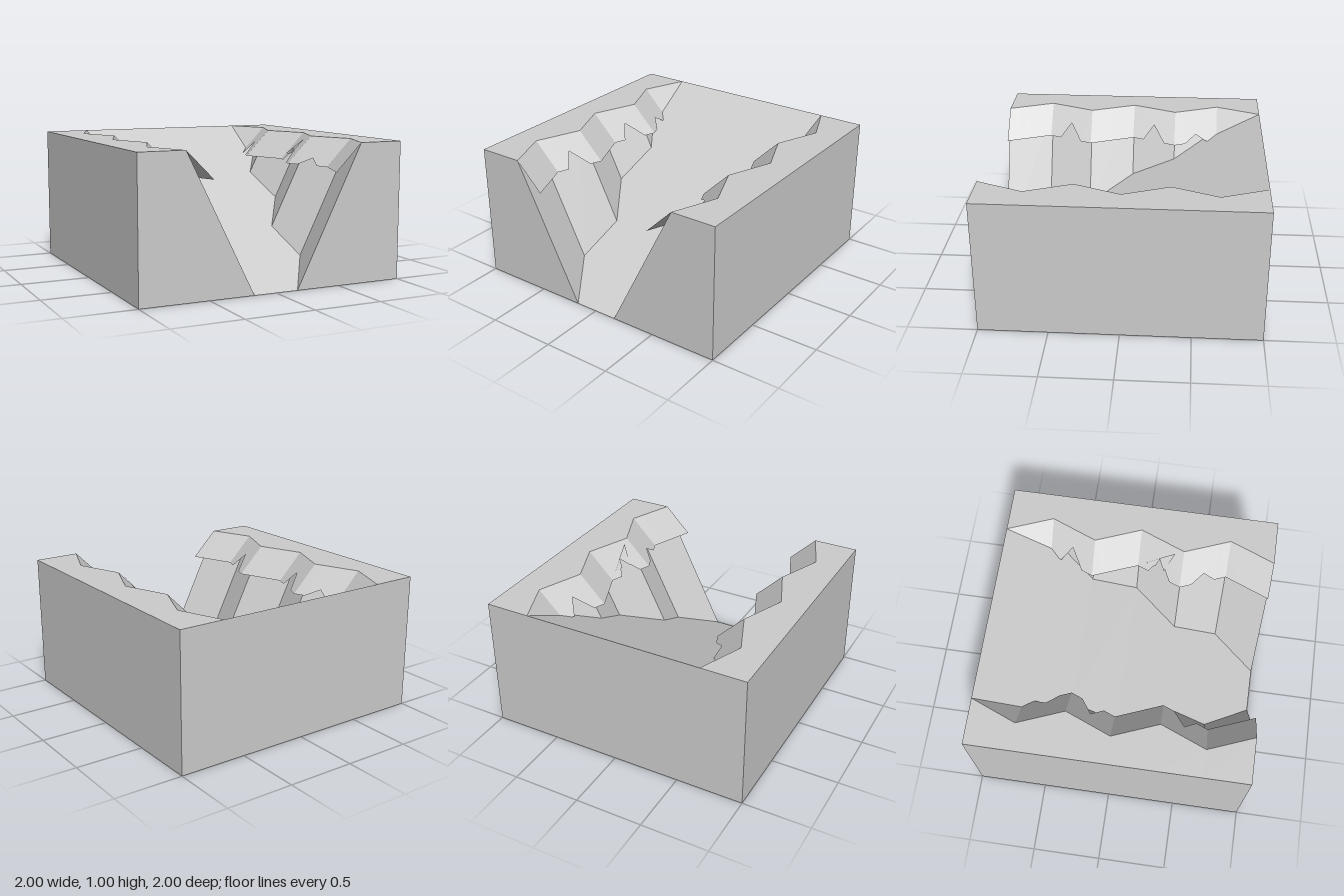
import * as THREE from 'three';

const SECTIONS = 6;
const stationZ = (i) => -1 + (2 * i) / SECTIONS;
const rimAt = (i) => (i % 2 ? 0.8 : 2 / 3); // zigzag canyon rim
const material = new THREE.MeshStandardMaterial({ color: 0xcccccc, side: THREE.DoubleSide, flatShading: true });

// Collects triangles and quads into one faceted mesh.
function facetMesh(name, faces) {
  const positions = [];
  for (const f of faces) {
    for (let k = 1; k < f.length - 1; k++) positions.push(...f[0], ...f[k], ...f[k + 1]);
  }
  const geometry = new THREE.BufferGeometry();
  geometry.setAttribute('position', new THREE.Float32BufferAttribute(positions, 3));
  geometry.computeVertexNormals();
  const mesh = new THREE.Mesh(geometry, material);
  mesh.name = name;
  return mesh;
}

// Cross-section of the block: outer sides, flat tops, sloping walls, ramp floor.
function ring(i) {
  const z = stationZ(i);
  const floor = (1 - z) / 2;
  const rim = rimAt(i);
  const foot = rim - 0.5 * (1 - floor);
  return [
    [-1, 0, z], [-1, 1, z], [-rim, 1, z], [-foot, floor, z],
    [foot, floor, z], [rim, 1, z], [1, 1, z], [1, 0, z],
  ];
}

function canyonBlock() {
  const faces = [];
  for (let i = 0; i < SECTIONS; i++) {
    const a = ring(i);
    const b = ring(i + 1);
    for (let j = 0; j < 8; j++) {
      const k = (j + 1) % 8;
      faces.push([a[j], b[j], b[k], a[k]]);
    }
  }
  // Solid back, and a front split by the canyon mouth
  faces.push([[1, 0, -1], [-1, 0, -1], [-1, 1, -1], [1, 1, -1]]);
  const f = ring(SECTIONS);
  faces.push([f[0], f[3], f[2], f[1]]);
  faces.push([f[4], f[7], f[6], f[5]]);
  return facetMesh('canyonBlock', faces);
}

// Thin ledge hanging from the rim; each section has its own notch height.
function ledge(name, side, notches) {
  const faces = [];
  for (let i = 0; i < SECTIONS; i++) {
    const at = (t) => {
      const rim = THREE.MathUtils.lerp(rimAt(i), rimAt(i + 1), t);
      const z = stationZ(i + t);
      const y = t === 0.5 ? notches[i] : 0.8;
      return [[side * rim, 1, z], [side * (rim - (1 - y)), y, z]];
    };
    for (let q = 0; q < 4; q++) {
      const [a, b] = at(q / 4);
      const [d, c] = at((q + 1) / 4);
      faces.push(side > 0 ? [a, b, c, d] : [a, d, c, b]);
    }
  }
  return facetMesh(name, faces);
}

export function createModel() {
  const group = new THREE.Group();
  group.name = 'canyonRamp';
  group.add(canyonBlock());
  group.add(ledge('leftLedge', 1, [0.8, 0.9, 0.8, 0.9, 0.85, 0.8]));
  group.add(ledge('rightLedge', -1, [0.8, 0.85, 0.9, 0.8, 0.9, 0.8]));
  // Small broken flakes around the notch in the left ledge
  group.add(facetMesh('rockFlakes', [
    [[0.63, 0.91, 0.155], [0.65, 0.98, 0.27], [0.56, 0.85, 0.2]],
    [[0.61, 0.85, 0.06], [0.63, 0.91, 0.16], [0.59, 0.85, 0.13]],
  ]));
  return group;
}
